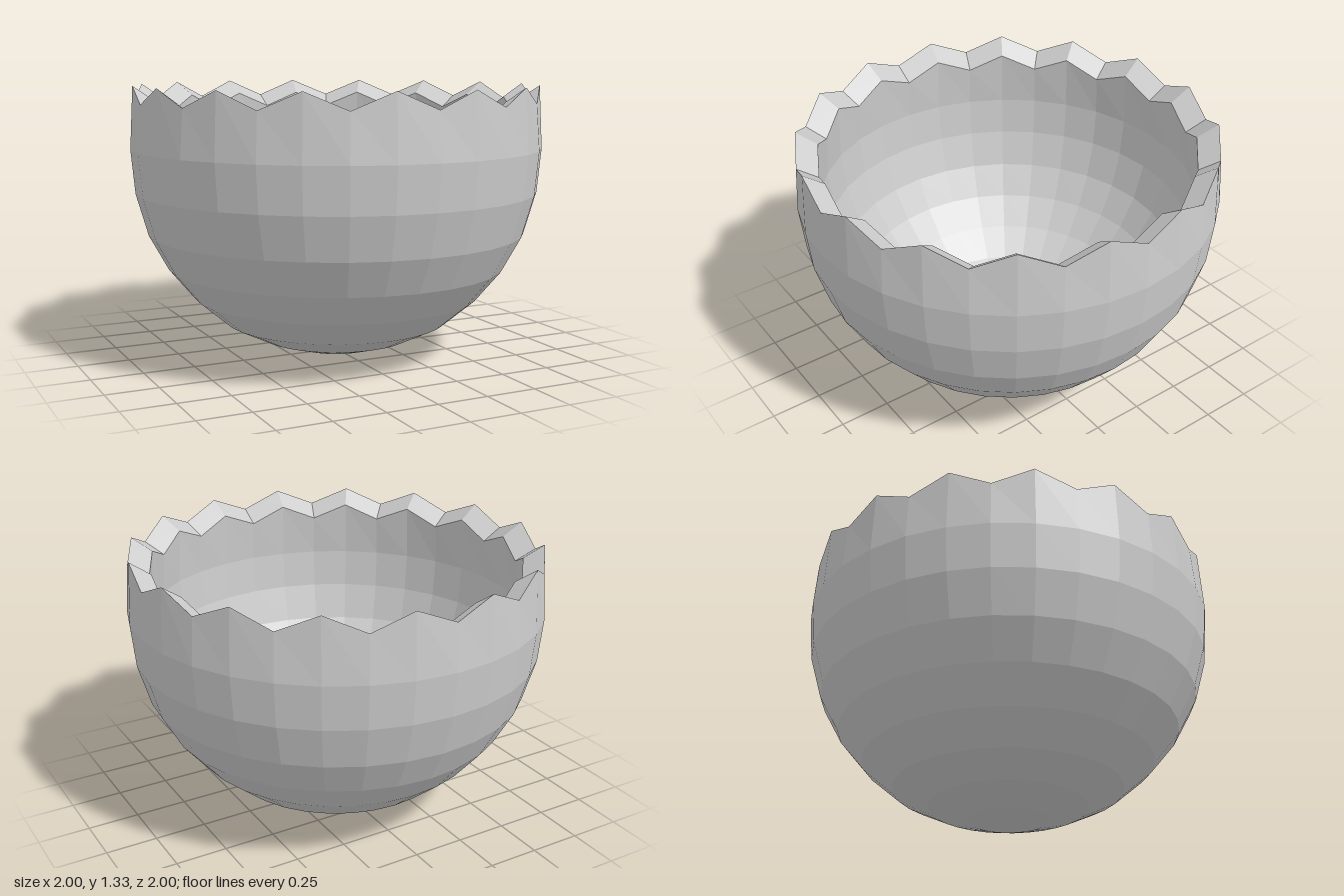
import * as THREE from 'three';

const SIDES = 32;
const WALL_SCALE = 0.9;   // inner skin is the outer one shrunk
const MID_Y = 0.66;       // about this height
const TOOTH = 0.08;       // height of each broken point on the rim

export function createModel() {
  const model = new THREE.Group();
  model.name = 'crackedShell';

  const shellGrey = new THREE.MeshStandardMaterial({ color: 0xcccccc, flatShading: true });
  shellGrey.name = 'shell grey';

  // Outer profile from the bottom pole to the low points of the rim
  const outer = [
    [0, 0], [0.195, 0.024], [0.383, 0.083], [0.556, 0.168], [0.707, 0.297],
    [0.831, 0.447], [0.924, 0.618], [0.981, 0.82], [1, 1.03], [0.983, 1.25],
  ].map(([r, y]) => new THREE.Vector2(r, y));

  // Inner profile runs back down, so the wall closes over the rim
  const inner = outer.map((p) => new THREE.Vector2(
    p.x * WALL_SCALE, MID_Y + (p.y - MID_Y) * WALL_SCALE)).reverse();

  const profile = [...outer, ...inner];
  const geometry = new THREE.LatheGeometry(profile, SIDES);

  // Zigzag rim: raise every second column of the two rim rings
  const pos = geometry.attributes.position;
  const rim = outer.length - 1;
  for (let i = 1; i <= SIDES; i += 2) {
    const v = i * profile.length + rim;
    pos.setY(v, pos.getY(v) + TOOTH);
    pos.setY(v + 1, pos.getY(v + 1) + TOOTH * WALL_SCALE);
  }
  geometry.computeVertexNormals();

  const shell = new THREE.Mesh(geometry, shellGrey);
  shell.name = 'shell';
  model.add(shell);
  return model;
}
